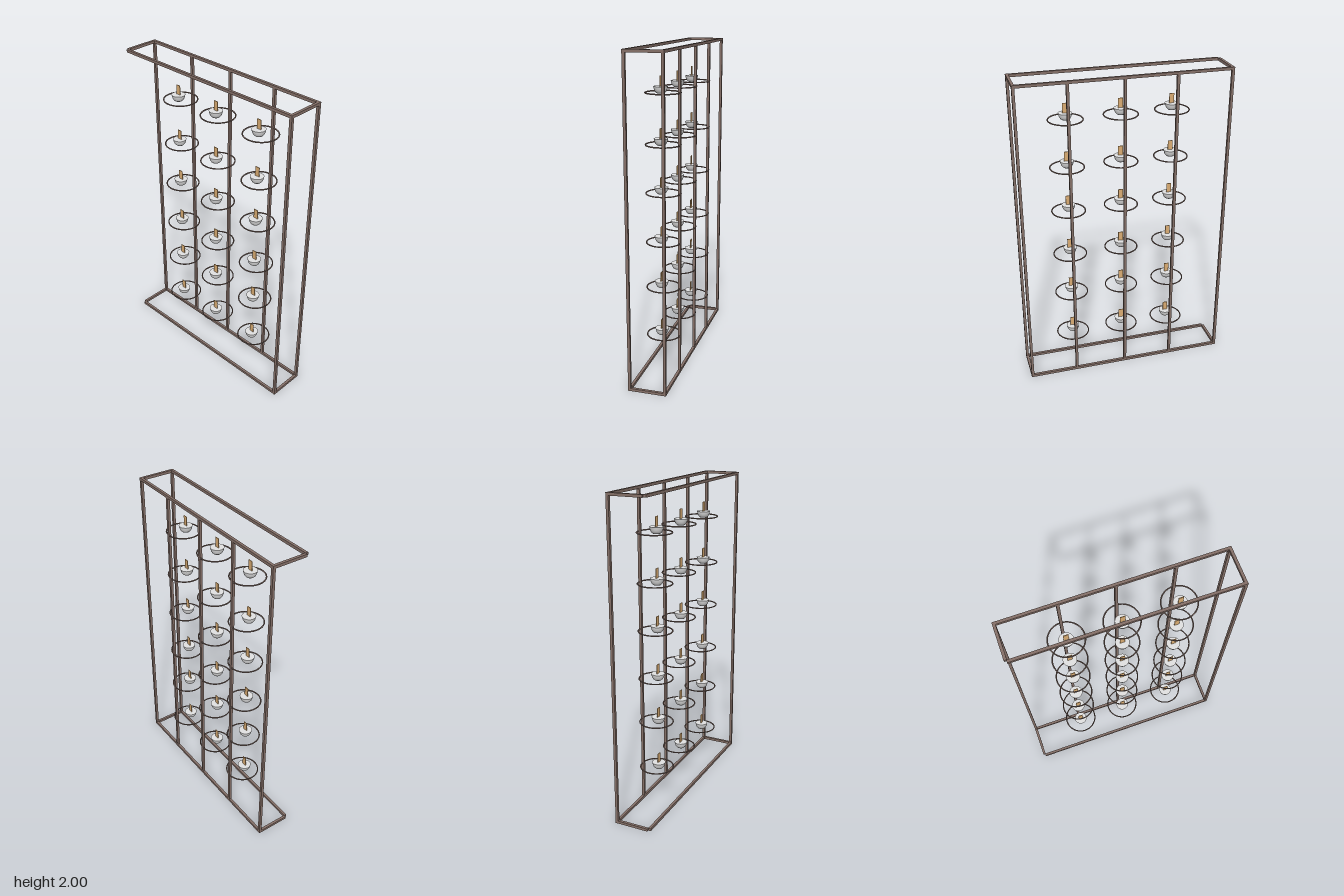
import * as THREE from 'three';

export function createModel() {
  const model = new THREE.Group();
  const bronze = new THREE.MeshStandardMaterial({ color: 0x857068 });
  bronze.name = 'bronze';
  const silver = new THREE.MeshStandardMaterial({ color: 0xe2e2e2 });
  silver.name = 'silver';
  const wood = new THREE.MeshStandardMaterial({ color: 0xdcae74 });
  wood.name = 'wood';

  const T = 0.017, X = 0.656, Z = 0.118;
  const xc = X - T / 2, zc = Z - T / 2;

  const add = (name, geometry, material, x, y, z, parent = model) => {
    const mesh = new THREE.Mesh(geometry, material);
    mesh.name = name;
    mesh.position.set(x, y, z);
    parent.add(mesh);
    return mesh;
  };
  // Square bar given by its two opposite corners
  const bar = (name, x0, x1, y0, y1, z0, z1) =>
    add(name, new THREE.BoxGeometry(x1 - x0, y1 - y0, z1 - z0), bronze,
      (x0 + x1) / 2, (y0 + y1) / 2, (z0 + z1) / 2);

  // Top and bottom rectangles, with a small notch at the open front corner
  for (const [level, y] of [['bottom', 0], ['top', 2 - T]]) {
    bar(level + 'BackRail', -X, X, y, y + T, -Z, -Z + T);
    bar(level + 'FrontRail', -X + 0.013, X, y, y + T, Z - T, Z);
    bar(level + 'LeftRail', X - T, X, y, y + T, -Z + T, Z - T);
    bar(level + 'RightRail', -X, -X + T, y, y + T, -Z + T, Z - T);
  }

  // Three corner posts; the front right corner stays open
  for (const [name, x, z] of [['backRightPost', -xc, -zc], ['backLeftPost', xc, -zc], ['frontLeftPost', xc, zc]])
    bar(name, x - T / 2, x + T / 2, T, 2 - T, z - T / 2, z + T / 2);

  // Shared parts of each holder
  const ringGeo = new THREE.TorusGeometry(0.1035, 0.0042, 8, 48).rotateX(Math.PI / 2);
  const bowlPoints = [[0, -0.006], [0.022, -0.006], [0.029, 0], [0.035, 0.009], [0.039, 0.021], [0.042, 0.034]]
    .map(([r, y]) => new THREE.Vector2(r, y));
  const bowlGeo = new THREE.LatheGeometry(bowlPoints, 32);
  const lidGeo = new THREE.CircleGeometry(0.042, 32).rotateX(-Math.PI / 2);
  const slatGeo = new THREE.BoxGeometry(0.03, 0.062, 0.004);

  // Back rods, each carrying six ring holders with a bowl and a slat
  for (const x of [-0.309, 0.01, 0.345]) {
    bar('backRod', x - T / 2, x + T / 2, T, 2 - T, -Z, -Z + T);
    for (const y of [0.249, 0.561, 0.848, 1.151, 1.441, 1.742]) {
      const holder = new THREE.Group();
      holder.name = 'holder';
      holder.position.set(x - 0.003, y, 0);
      model.add(holder);
      add('ring', ringGeo, bronze, 0.001, -0.001, -0.01, holder);
      add('bowl', bowlGeo, silver, -0.002, 0, 0.005, holder);
      add('bowlTop', lidGeo, silver, -0.002, 0.034, 0.005, holder);
      add('slat', slatGeo, wood, -0.001, 0.062, 0.005, holder);
    }
  }
  return model;
}
